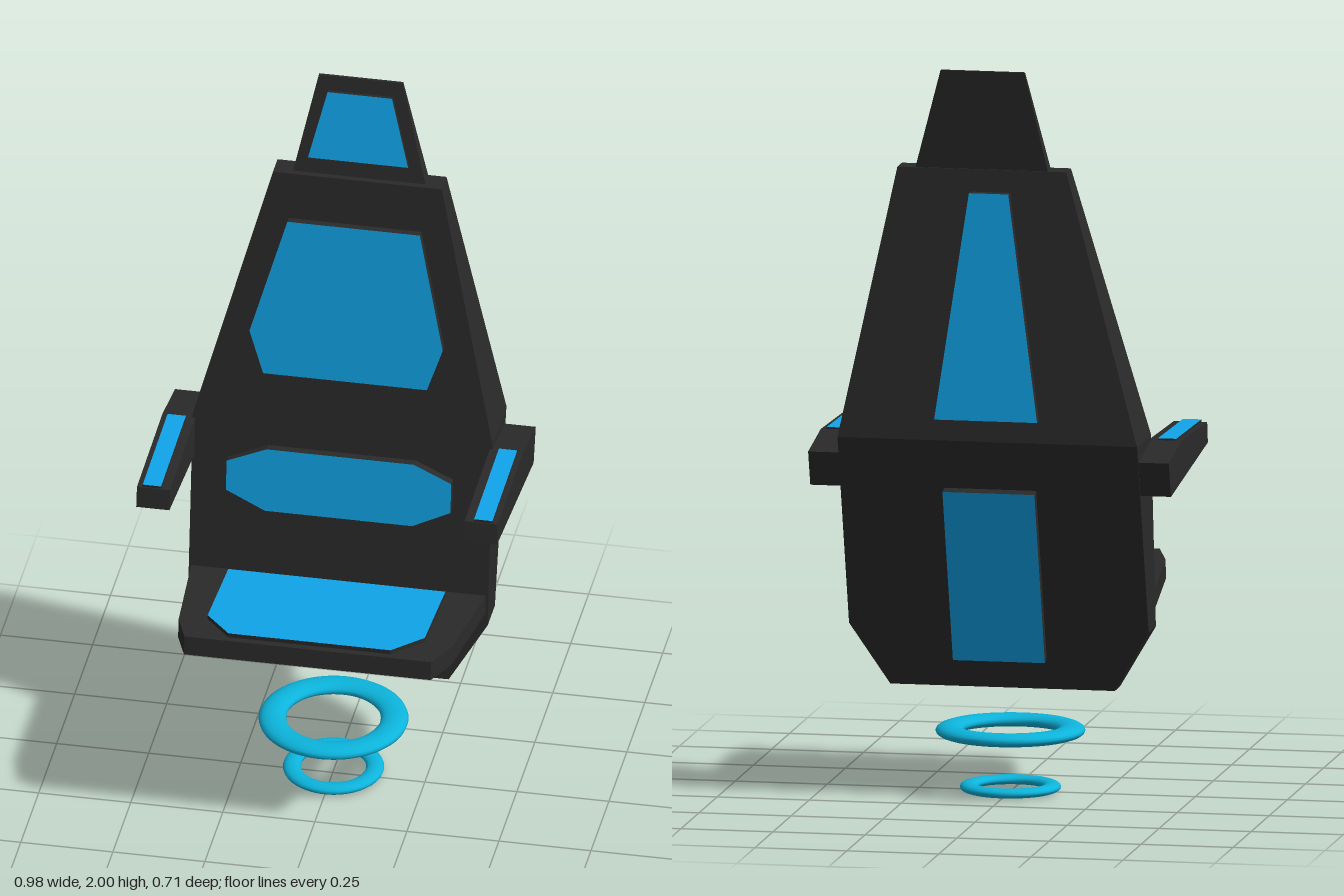
import * as THREE from 'three';

const material = (color) => new THREE.MeshStandardMaterial({ color, flatShading: true });
const V = (x, y, z) => new THREE.Vector3(x, y, z);

// Mean of a ring's corners
const centre = (ring) => ring.reduce((s, p) => s.add(p), V(0, 0, 0)).divideScalar(ring.length);

// Orients rings counter-clockwise along the direction from first to last
function orient(rings) {
  const normal = V(0, 0, 0), r = rings[0];
  r.forEach((p, i) => normal.add(p.clone().cross(r[(i + 1) % r.length])));
  const along = centre(rings.at(-1)).sub(centre(r));
  return normal.dot(along) < 0 ? rings.map((q) => [...q].reverse()) : rings;
}

function fromTriangles(points) {
  const g = new THREE.BufferGeometry().setFromPoints(points);
  g.computeVertexNormals();
  return g;
}

const fan = (ring) => ring.slice(2).flatMap((p, i) => [ring[0], ring[i + 1], p]);

// Solid through convex rings; the last cap can be left off
function loft(rings, capped = true) {
  const r = orient(rings), pts = fan([...r[0]].reverse());
  for (let k = 0; k + 1 < r.length; k++) {
    r[k].forEach((a, i) => {
      const j = (i + 1) % r[k].length, b = r[k][j], c = r[k + 1][j], d = r[k + 1][i];
      pts.push(a, b, c, a, c, d);
    });
  }
  if (capped) pts.push(...fan(r.at(-1)));
  return fromTriangles(pts);
}

export function createModel() {
  const model = new THREE.Group();
  const dark = material(0x2a2a2a), blue = material(0x10a5ea);
  const ringBlue = new THREE.MeshStandardMaterial({ color: 0x0cb4dc });

  const add = (name, geometry, mat, parent = model) => {
    const mesh = new THREE.Mesh(geometry, mat);
    mesh.name = name;
    parent.add(mesh);
    return mesh;
  };

  // Raised panel: dark rim with a blue face, lifted from a base outline
  const addPanel = (name, base, lift) => {
    const group = new THREE.Group();
    group.name = name;
    const sunk = base.map((p) => p.clone().addScaledVector(lift, -0.3));
    const rings = orient([sunk, base.map((p) => p.clone().add(lift))]);
    add(name + 'Rim', loft(rings, false), dark, group);
    add(name + 'Face', fromTriangles(fan(rings[1])), blue, group);
    model.add(group);
  };

  // Surface lines of the backrest as z at height y
  const lerpZ = (y0, z0, y1, z1) => (y) => z0 + ((y - y0) * (z1 - z0)) / (y1 - y0);
  const frontZ = lerpZ(0.3, -0.05, 1.73, -0.228);
  const lowBackZ = lerpZ(0.3, -0.12, 1, -0.332);
  const highBackZ = lerpZ(1, -0.332, 1.73, -0.292);
  const headZ = lerpZ(1.73, -0.245, 2, -0.308);

  // Backrest: four-cornered sections [y, left x, right x, back z]
  const section = (y, x0, x1, zf, zb) => [V(x0, y, zf), V(x1, y, zf), V(x1, y, zb), V(x0, y, zb)];
  add('backrest', loft([
    [0.3, -0.305, 0.305, lowBackZ(0.3)],
    [0.47, -0.407, 0.407, lowBackZ(0.47)],
    [1.0, -0.407, 0.407, -0.332],
    [1.73, -0.207, 0.252, -0.292],
  ].map(([y, x0, x1, zb]) => section(y, x0, x1, frontZ(y), zb))), dark);

  // Headrest
  add('headrest', loft([
    section(1.7, -0.162, 0.212, headZ(1.7), -0.284),
    section(2.0, -0.098, 0.13, headZ(2), -0.316),
  ]), dark);

  // Panels on the backrest and headrest, outlined in x and y
  const onSurface = (zAt, outline) => outline.map(([x, y]) => V(x, y, zAt(y)));
  addPanel('headrestPad', onSurface(headZ,
    [[-0.07, 1.96], [0.105, 1.96], [0.157, 1.775], [-0.115, 1.775]]), V(0, 0.002, 0.012));
  addPanel('upperBackPad', onSurface(frontZ,
    [[-0.16, 1.6], [0.2, 1.6], [0.27, 1.27], [0.23, 1.15], [-0.215, 1.15], [-0.255, 1.27]]),
  V(0, 0.003, 0.024));
  addPanel('lumbarPad', onSurface(frontZ,
    [[-0.2, 0.93], [0.2, 0.93], [0.303, 0.885], [0.303, 0.8], [0.2, 0.75], [-0.2, 0.75],
      [-0.307, 0.8], [-0.307, 0.885]]), V(0, 0.003, 0.027));
  addPanel('upperRearPanel', onSurface(highBackZ,
    [[-0.055, 1.67], [0.052, 1.67], [0.14, 1.06], [-0.14, 1.06]]), V(0, 0, -0.026));
  addPanel('lowerRearPanel', onSurface(lowBackZ,
    [[-0.125, 0.865], [0.125, 0.865], [0.125, 0.385], [-0.125, 0.385]]), V(0, -0.007, -0.025));

  // Seat plate rising to the front, outlined in x and z
  const seatY = (z) => 0.558 + (z + 0.07) * 0.115;
  const plan = [[-0.4, -0.08], [0.4, -0.08], [0.37, 0.25], [0.335, 0.348], [-0.335, 0.348], [-0.37, 0.25]];
  const seatTop = plan.map(([x, z]) => V(x, seatY(z), z));
  add('seat', loft([seatTop.map((p) => p.clone().add(V(0, -0.052, 0.007))), seatTop]), dark);
  addPanel('seatPad', [[-0.295, -0.057], [0.295, -0.057], [0.295, 0.23], [0.22, 0.325],
    [-0.22, 0.325], [-0.295, 0.23]].map(([x, z]) => V(x, seatY(z), z)), V(0, 0.012, 0));

  // Armrests: side profile in z and y, mirrored
  const profile = [[0.215, 0.977], [0.225, 0.92], [-0.285, 0.86], [-0.315, 0.955], [-0.14, 0.986]];
  for (const [side, s] of [['left', 1], ['right', -1]]) {
    add(side + 'Armrest', loft([0.4, 0.49].map((x) => profile.map(([z, y]) => V(s * x, y, z)))), dark);
    addPanel(side + 'ArmPad', [[0.425, -0.135], [0.475, -0.135], [0.475, 0.212], [0.425, 0.212]]
      .map(([x, z]) => V(s * x, 0.983 - (z + 0.14) * 0.02, z)), V(0, 0.008, 0));
  }

  // Floating rings below the seat
  for (const [name, radius, tube, y, height] of [
    ['largeRing', 0.163, 0.037, 0.166, 0.018],
    ['smallRing', 0.111, 0.024, 0.013, 0.013],
  ]) {
    const ring = new THREE.TorusGeometry(radius, tube, 16, 64);
    ring.rotateX(Math.PI / 2).scale(1, height / tube, 1).translate(0, y, -0.011);
    add(name, ring, ringBlue);
  }
  return model;
}
